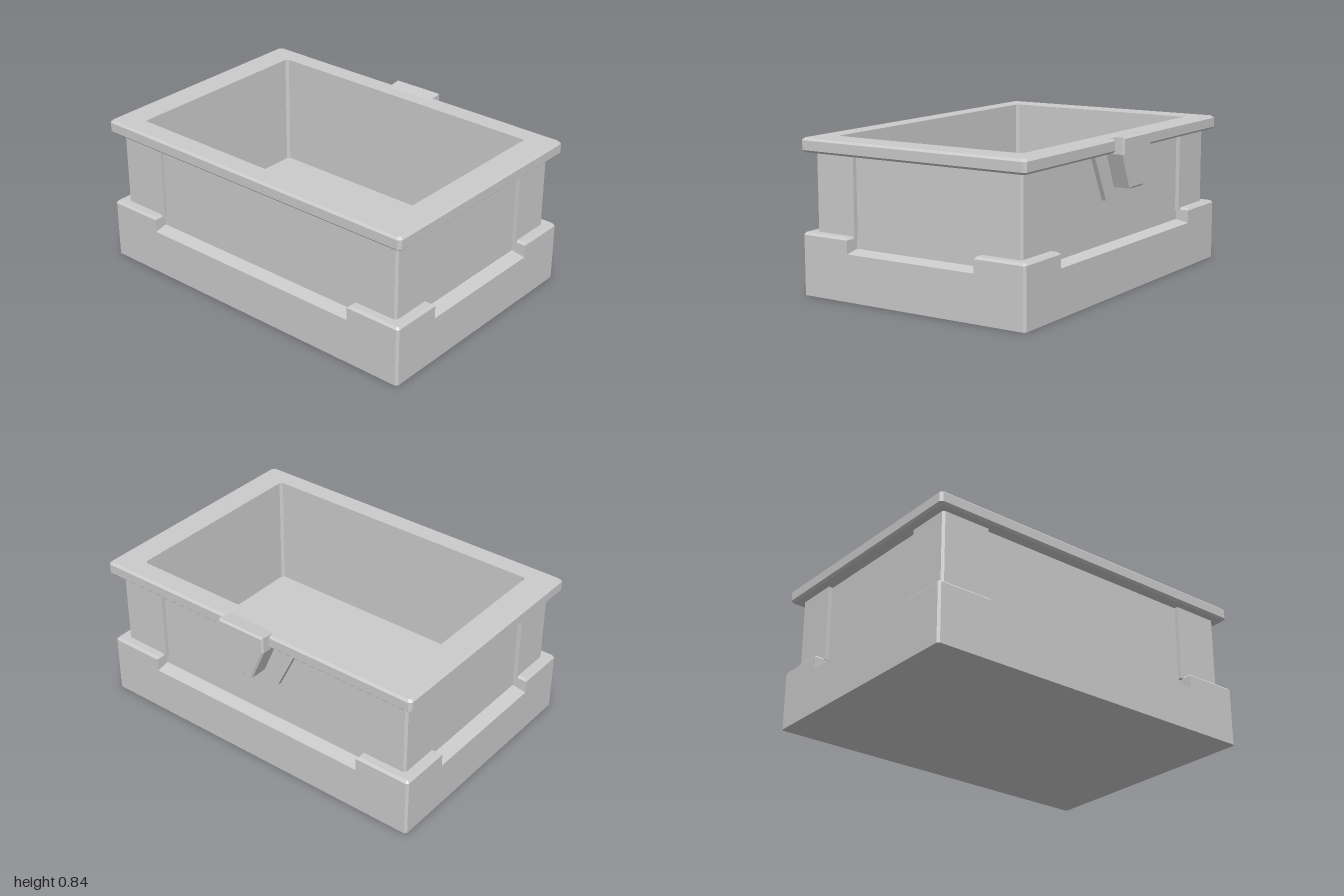
import * as THREE from 'three';

const material = new THREE.MeshStandardMaterial({ color: 0xcccccc, flatShading: true });

// Stack of rectangles with chamfered corners, each [halfX, halfZ, y]; caps are optional.
function loft(rings, chamfer, capStart, capEnd) {
  const loops = rings.map(([a, b, y]) => {
    const c = chamfer;
    return [[a, -b + c], [a, b - c], [a - c, b], [-a + c, b], [-a, b - c], [-a, -b + c], [-a + c, -b], [a - c, -b]]
      .map(([x, z]) => [x, y, z]);
  });
  const pos = [];
  const tri = (...points) => points.forEach((p) => pos.push(...p));
  const first = loops[0], last = loops[loops.length - 1];
  for (let i = 0; i < 8; i++) {
    const j = (i + 1) % 8;
    for (let k = 0; k < loops.length - 1; k++) {
      const lo = loops[k], hi = loops[k + 1];
      tri(lo[i], hi[i], lo[j]);
      tri(lo[j], hi[i], hi[j]);
    }
    if (capStart) tri([0, first[0][1], 0], first[i], first[j]);
    if (capEnd) tri([0, last[0][1], 0], last[j], last[i]);
  }
  const g = new THREE.BufferGeometry();
  g.setAttribute('position', new THREE.Float32BufferAttribute(pos, 3));
  g.computeVertexNormals();
  return g;
}

// Bevelled extrusion whose full size, bevels included, is the outline by the depth.
function bevelled(points, depth, bevel) {
  const shape = new THREE.Shape(points.map(([x, y]) => new THREE.Vector2(x, y)));
  const g = new THREE.ExtrudeGeometry(shape, {
    depth: depth - 2 * bevel, bevelEnabled: bevel > 0, bevelSize: bevel,
    bevelThickness: bevel, bevelOffset: -bevel, bevelSegments: 1,
  });
  return g.translate(0, 0, bevel);
}

// L-shaped block wrapping one corner of the trough.
function cornerBlock(sx, sz, hx, hz, armX, armZ, y0, y1, bevel) {
  const c = 0.012, inX = 0.585, inZ = 0.88;
  const outline = [[armX, hz], [hx - c, hz], [hx, hz - c], [hx, armZ], [inX, armZ], [inX, inZ], [armX, inZ]];
  const g = bevelled(outline.map(([x, z]) => [x * sx, -z * sz]), y1 - y0, bevel);
  return g.rotateX(-Math.PI / 2).translate(0, y0, 0);
}

// Extrudes a side outline (z, y) outward along x.
function sidePlate(points, x0, x1, bevel) {
  return bevelled(points.map(([z, y]) => [-z, y]), x1 - x0, bevel).rotateY(Math.PI / 2).translate(x0, 0, 0);
}

export function createModel() {
  const model = new THREE.Group();
  model.name = 'stoneTrough';
  model.position.x = -0.025;
  const add = (name, geometry) => {
    const mesh = new THREE.Mesh(geometry, material);
    mesh.name = name;
    model.add(mesh);
  };

  // Plinth with sloped ledge and recessed wall panels
  add('plinthAndPanels', loft([
    [0.685, 1, 0], [0.685, 1, 0.25], [0.61, 0.92, 0.265], [0.61, 0.92, 0.76],
  ], 0.012, true, false));

  // Overhanging rim continuing into the hollow basin and its floor
  add('rimAndBasin', loft([
    [0.565, 0.84, 0.75], [0.673, 0.988, 0.75], [0.685, 1, 0.762], [0.685, 1, 0.813],
    [0.673, 0.988, 0.825], [0.565, 0.84, 0.825], [0.565, 0.84, 0.18],
  ], 0.014, false, true));

  // Raised plinth corners and the posts above them
  for (const sx of [-1, 1]) {
    for (const sz of [-1, 1]) {
      add('plinthCorner', cornerBlock(sx, sz, 0.685, 1, 0.39, 0.68, 0.238, 0.333, 0.012));
      add('cornerPost', cornerBlock(sx, sz, 0.632, 0.945, 0.385, 0.665, 0.32, 0.755, 0));
    }
  }

  // Thin backing plate under the spout
  add('spoutPlate', sidePlate([[-0.265, 0.755], [-0.14, 0.5], [0.16, 0.5], [0.285, 0.755]], 0.59, 0.635, 0));

  // Spout, its top sloping back down to the rim
  const spout = sidePlate([
    [-0.132, 0.837], [-0.132, 0.745], [-0.053, 0.56], [0.08, 0.56], [0.16, 0.745], [0.16, 0.837],
  ], 0.6, 0.737, 0.01);
  const p = spout.attributes.position;
  for (let i = 0; i < p.count; i++) {
    if (p.getY(i) > 0.8) p.setY(i, p.getY(i) + (p.getX(i) - 0.737) * 0.13);
  }
  spout.computeVertexNormals();
  add('spout', spout);

  return model;
}
